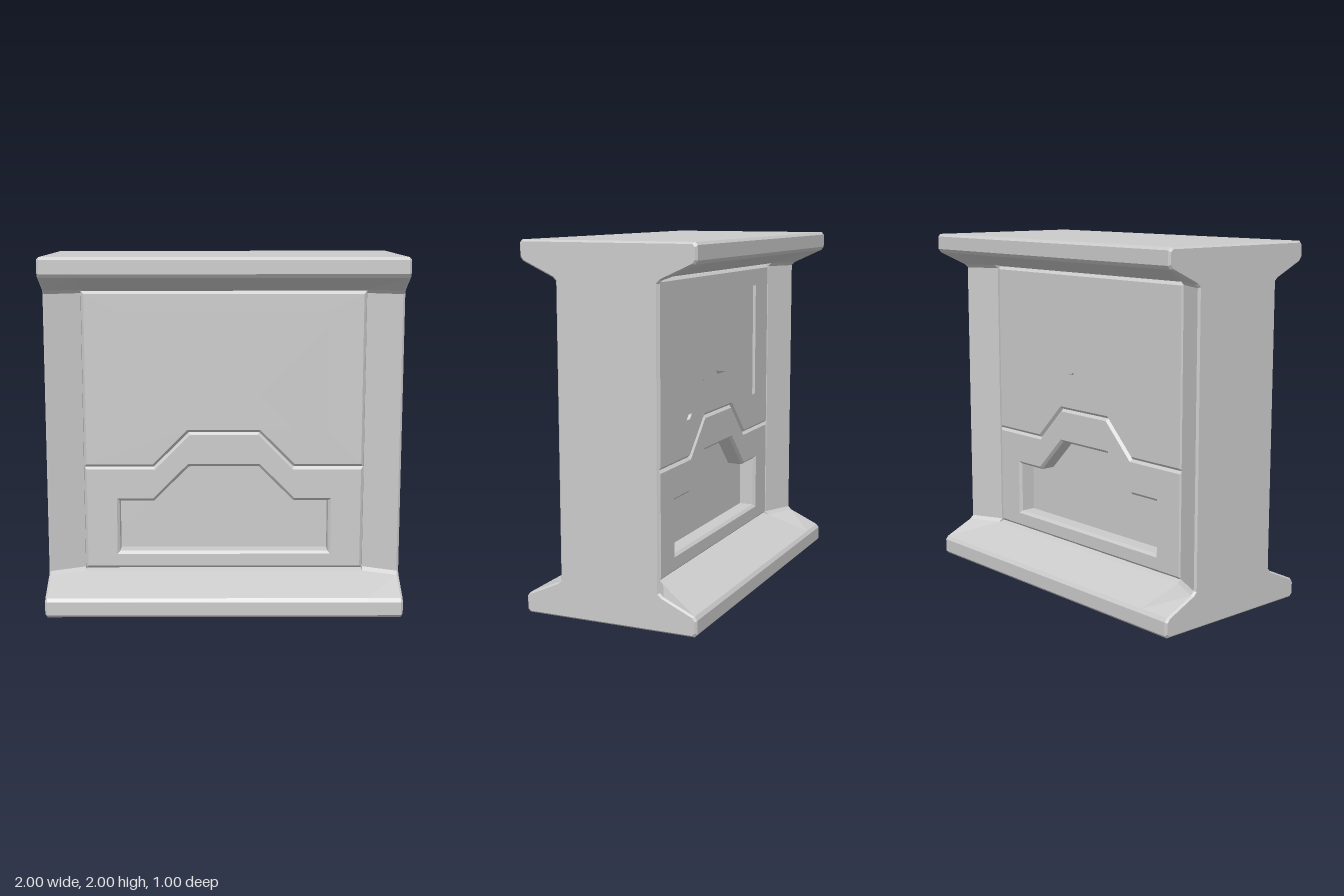
import * as THREE from 'three';

const BEVEL = 0.015;
const material = new THREE.MeshStandardMaterial({ color: 0xcccccc, flatShading: true });

// Closed I-shaped section as [z, y]: w = waist half depth, web = core half depth, e = inset
function section(w, web, e = 0) {
  const quarter = [
    [0.485 - e, e], [0.5 - e, 0.015 + e], [0.5 - e, 0.09 - e * 0.5],
    [0.485 - e, 0.11 - e * 0.5], [w + 0.02 - e, 0.19 - e * 0.5], [web - e, 0.21 - e * 0.5],
  ];
  const front = [...quarter, ...quarter.map(([z, y]) => [z, 2 - y]).reverse()];
  const back = front.map(([z, y]) => [-z, y]).reverse();
  return [...front, ...back];
}

// Joins sections along x and caps both ends
function loft(stations) {
  const n = stations[0].ring.length;
  const positions = [], index = [];
  stations.forEach(({ x, ring }) => ring.forEach(([z, y]) => positions.push(x, y, z)));
  for (let s = 0; s < stations.length - 1; s++) {
    for (let i = 0; i < n; i++) {
      const j = (i + 1) % n, a = s * n, b = a + n;
      index.push(a + i, b + i, b + j, a + i, b + j, a + j);
    }
  }
  const contour = stations[0].ring.map(([z, y]) => new THREE.Vector2(z, y));
  const last = (stations.length - 1) * n;
  for (const [a, b, c] of THREE.ShapeUtils.triangulateShape(contour, [])) {
    index.push(a, b, c, last + c, last + b, last + a);
  }
  const geometry = new THREE.BufferGeometry();
  geometry.setAttribute('position', new THREE.Float32BufferAttribute(positions, 3));
  geometry.setIndex(index);
  const flat = geometry.toNonIndexed();
  flat.computeVertexNormals();
  return flat;
}

// Upper edge with a raised middle, from right to left
const steppedEdge = (halfWidth, y) => [
  [halfWidth, y], [0.4, y], [0.2, y + 0.2], [-0.2, y + 0.2], [-0.4, y], [-halfWidth, y],
];

// Bevelled panel with an opening cut through it
function panelGeometry(outline, opening) {
  const toVectors = (points) => points.map(([x, y]) => new THREE.Vector2(x, y));
  const shape = new THREE.Shape(toVectors(outline));
  shape.holes.push(new THREE.Path(toVectors(opening)));
  const geometry = new THREE.ExtrudeGeometry(shape, {
    depth: 0.12 - BEVEL * 2, bevelEnabled: true, bevelSegments: 1,
    bevelSize: BEVEL, bevelThickness: BEVEL, bevelOffset: -BEVEL,
  });
  return geometry.translate(0, 0, 0.08 + BEVEL);
}

export function createModel() {
  const model = new THREE.Group();
  const add = (parent, name, geometry) => {
    const mesh = new THREE.Mesh(geometry, material);
    mesh.name = name;
    parent.add(mesh);
  };

  // Base, top and side posts, with a thinner core between the posts
  const end = section(0.29, 0.29, 0), cap = section(0.29, 0.29, 0.01);
  const inner = section(0.2, 0.2), core = section(0.2, 0.1);
  add(model, 'frame', loft([
    { x: -1, ring: cap }, { x: -0.988, ring: end }, { x: -0.8, ring: inner },
    { x: -0.8, ring: core }, { x: 0.8, ring: core },
    { x: 0.8, ring: inner }, { x: 0.988, ring: end }, { x: 1, ring: cap },
  ]));

  // Two recessed panels on each face
  const upper = panelGeometry(
    [...steppedEdge(0.8, 0.8), [-0.8, 1.8], [0.8, 1.8]],
    [...steppedEdge(0.6, 1.0), [-0.6, 1.7], [0.6, 1.7]]);
  const lower = panelGeometry(
    [...steppedEdge(0.8, 0.8), [-0.8, 0.2], [0.8, 0.2]],
    [...steppedEdge(0.6, 0.6), [-0.6, 0.3], [0.6, 0.3]]);
  for (const side of ['front', 'back']) {
    const face = new THREE.Group();
    face.name = side + 'Panels';
    add(face, side + 'UpperPanel', upper);
    add(face, side + 'LowerPanel', lower);
    if (side === 'back') face.rotation.y = Math.PI;
    model.add(face);
  }
  return model;
}
